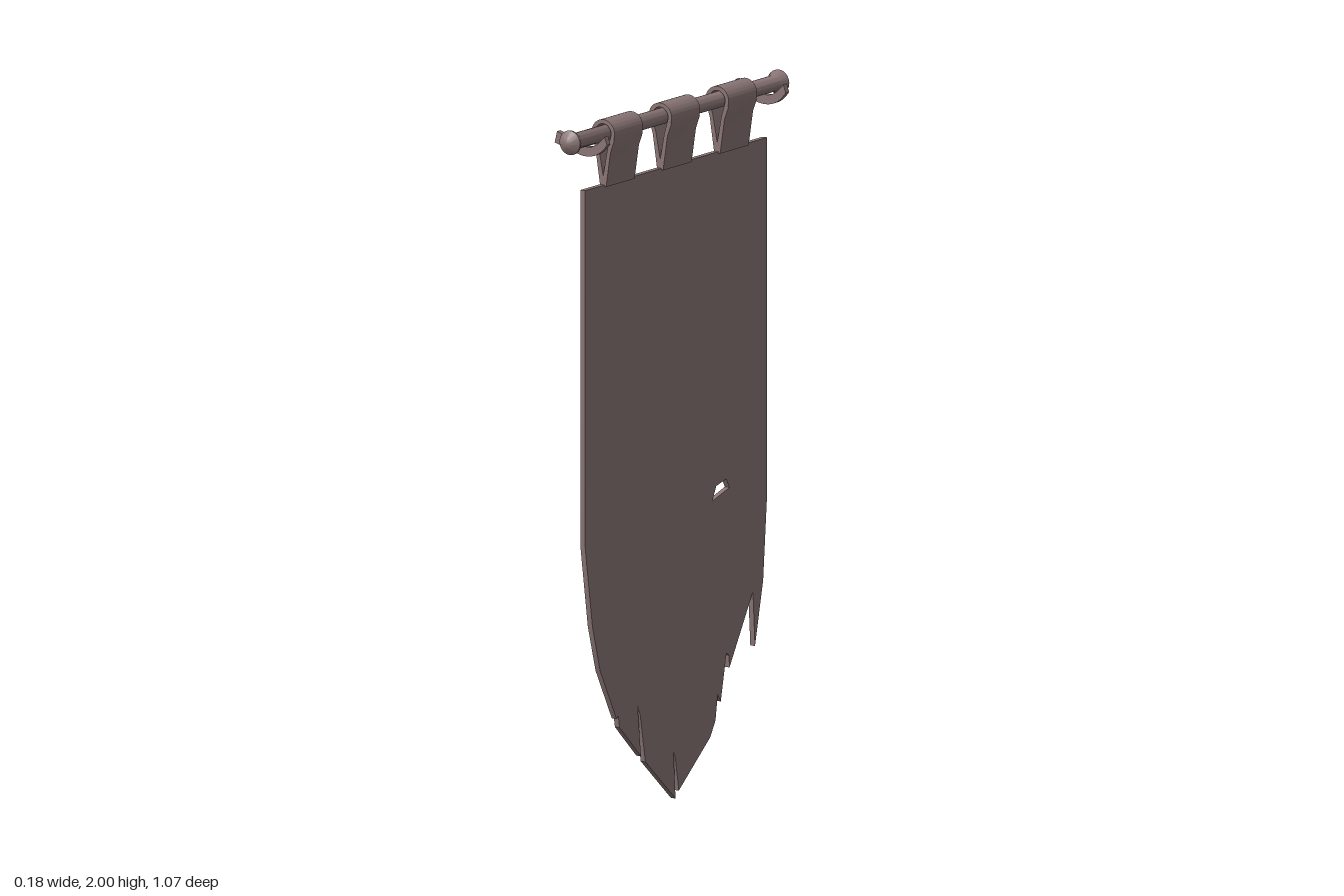
import * as THREE from 'three';
import { toCreasedNormals } from 'three/addons/utils/BufferGeometryUtils.js';

const AXIS_X = 0.02, AXIS_Y = 1.963;
const material = new THREE.MeshStandardMaterial({ color: 0x8a7575 });

const points = (list) => list.map(([a, b]) => new THREE.Vector2(a, b));

function add(group, name, geometry) {
  const mesh = new THREE.Mesh(toCreasedNormals(geometry, 0.6), material);
  mesh.name = name;
  group.add(mesh);
  return mesh;
}

const extrude = (shape, depth) =>
  new THREE.ExtrudeGeometry(shape, { depth, bevelEnabled: false, curveSegments: 16 });

export function createModel() {
  const model = new THREE.Group();
  model.name = 'hangingBanner';

  // Cloth: outline as (z, y) with a ragged lower edge and one tear
  const cloth = new THREE.Shape(points([
    [0.445, 1.815], [0.445, 0.8], [0.408, 0.56], [0.37, 0.427], [0.29, 0.277],
    [0.281, 0.284], [0.275, 0.25], [0.17, 0.15], [0.186, 0.295], [0.174, 0.27],
    [0.148, 0.13], [0, 0], [0.01, 0.135], [0.002, 0.12], [-0.016, 0.02],
    [-0.17, 0.146], [-0.196, 0.19], [-0.207, 0.262], [-0.222, 0.24],
    [-0.25, 0.374], [-0.262, 0.365], [-0.265, 0.33], [-0.38, 0.527],
    [-0.39, 0.37], [-0.43, 0.55], [-0.45, 0.8], [-0.45, 1.815],
  ]));
  cloth.holes.push(new THREE.Path(points([
    [-0.18, 0.82], [-0.2, 0.86], [-0.249, 0.872], [-0.265, 0.845],
  ])));
  add(model, 'cloth', extrude(cloth, 0.016).rotateY(-Math.PI / 2).translate(0.024, 0, 0));

  // Rod with pointed knobs at both ends, turned as one profile
  const half = [[0, 0.533], [0.015, 0.53], [0.035, 0.514], [0.035, 0.508], [0.023, 0.487]];
  const profile = points([
    ...half.map(([r, z]) => [r, -z]),
    ...half.slice().reverse(),
  ]);
  add(model, 'rod', new THREE.LatheGeometry(profile, 24)
    .rotateX(Math.PI / 2).translate(AXIS_X, AXIS_Y, 0));

  // Loops of cloth wrapped over the rod and pinched together at the bottom
  const loop = new THREE.Shape();
  loop.moveTo(0.01, 1.81);
  loop.lineTo(0.03, 1.81);
  loop.lineTo(0.045, 1.91);
  loop.lineTo(0.058, 1.945);
  loop.absarc(AXIS_X, AXIS_Y, 0.039, -0.3, Math.PI + 0.3, false);
  loop.lineTo(-0.005, 1.91);
  const eye = new THREE.Path();
  eye.moveTo(0.02, 1.84);
  eye.lineTo(0.034, 1.915);
  eye.absarc(AXIS_X, AXIS_Y, 0.027, -0.3, Math.PI + 0.3, false);
  eye.lineTo(0.006, 1.915);
  loop.holes.push(eye);
  for (const z of [-0.28, 0, 0.28]) {
    add(model, 'hangingLoop', extrude(loop, 0.14).translate(0, 0, z - 0.07));
  }

  // Curved brackets cradling the rod near each end
  const cradle = new THREE.Shape();
  cradle.moveTo(-0.09, 1.937);
  cradle.lineTo(-0.005, 1.912);
  cradle.quadraticCurveTo(0.055, 1.9, 0.088, 1.95);
  cradle.lineTo(0.08, 1.973);
  cradle.quadraticCurveTo(0.045, 1.93, 0.01, 1.938);
  cradle.lineTo(-0.082, 1.97);
  for (const z of [-0.457, 0.421]) {
    add(model, 'cradleBracket', extrude(cradle, 0.017).translate(0, 0, z - 0.0085));
  }

  return model;
}
